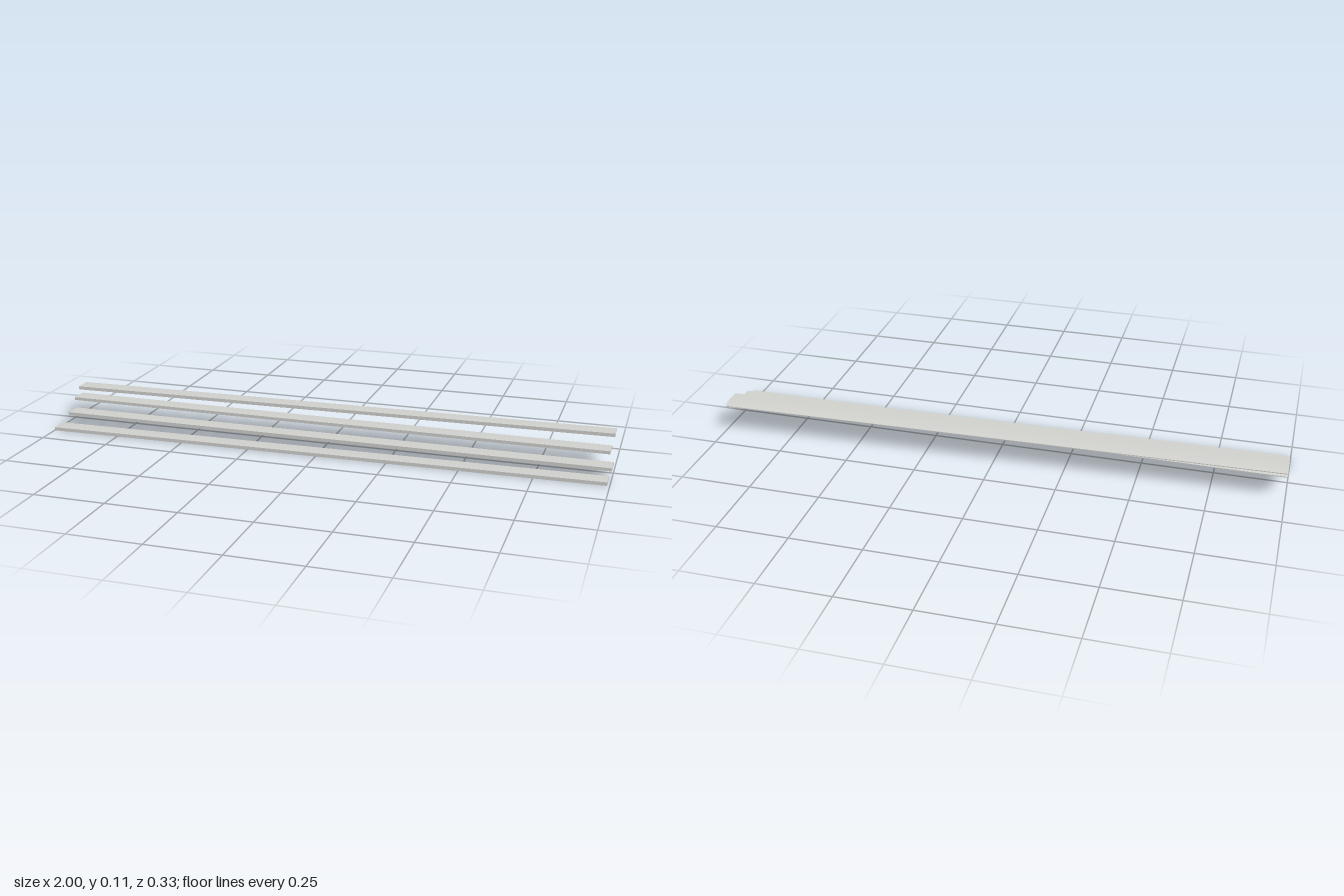
import * as THREE from 'three';
import { toCreasedNormals } from 'three/addons/utils/BufferGeometryUtils.js';

const WIDTH = 0.083;

// Board with a square front edge and a top that rounds down towards the back
function boardGeometry(length, thickness) {
  const profile = new THREE.Shape([
    [0, 0], [WIDTH, 0], [WIDTH, 0.25 * thickness], [0.075, 0.55 * thickness],
    [0.07, 0.72 * thickness], [0.06, 0.95 * thickness], [0.054, thickness], [0, thickness],
  ].map(([u, v]) => new THREE.Vector2(u, v)));
  const geometry = new THREE.ExtrudeGeometry(profile, { depth: length, bevelEnabled: false, steps: 8 });
  geometry.translate(-WIDTH / 2, 0, -length / 2);
  geometry.rotateY(Math.PI / 2); // length along x, profile running front to back
  return toCreasedNormals(geometry, 0.6);
}

export function createModel() {
  const group = new THREE.Group();
  group.name = 'boards';
  const paleGrey = new THREE.MeshStandardMaterial({ color: 0xcfcfcc });
  paleGrey.name = 'paleGrey';

  // Stepped from front bottom to back top; skew is the z shift over the length
  const boards = [
    { name: 'frontBoard', x: -0.004, y: 0, z: 0.1025, length: 1.99, thickness: 0.012, skew: 0.038 },
    { name: 'lowerMiddleBoard', x: 0.007, y: 0.034, z: 0.0365, length: 1.986, thickness: 0.011, skew: 0 },
    { name: 'upperMiddleBoard', x: -0.007, y: 0.068, z: -0.037, length: 1.986, thickness: 0.011, skew: -0.009 },
    { name: 'backBoard', x: -0.004, y: 0.1, z: -0.0985, length: 1.99, thickness: 0.012, skew: 0.046 },
  ];
  for (const b of boards) {
    const mesh = new THREE.Mesh(boardGeometry(b.length, b.thickness), paleGrey);
    mesh.name = b.name;
    mesh.position.set(b.x, b.y, b.z);
    mesh.rotation.y = Math.asin(b.skew / b.length);
    group.add(mesh);
  }
  return group;
}
